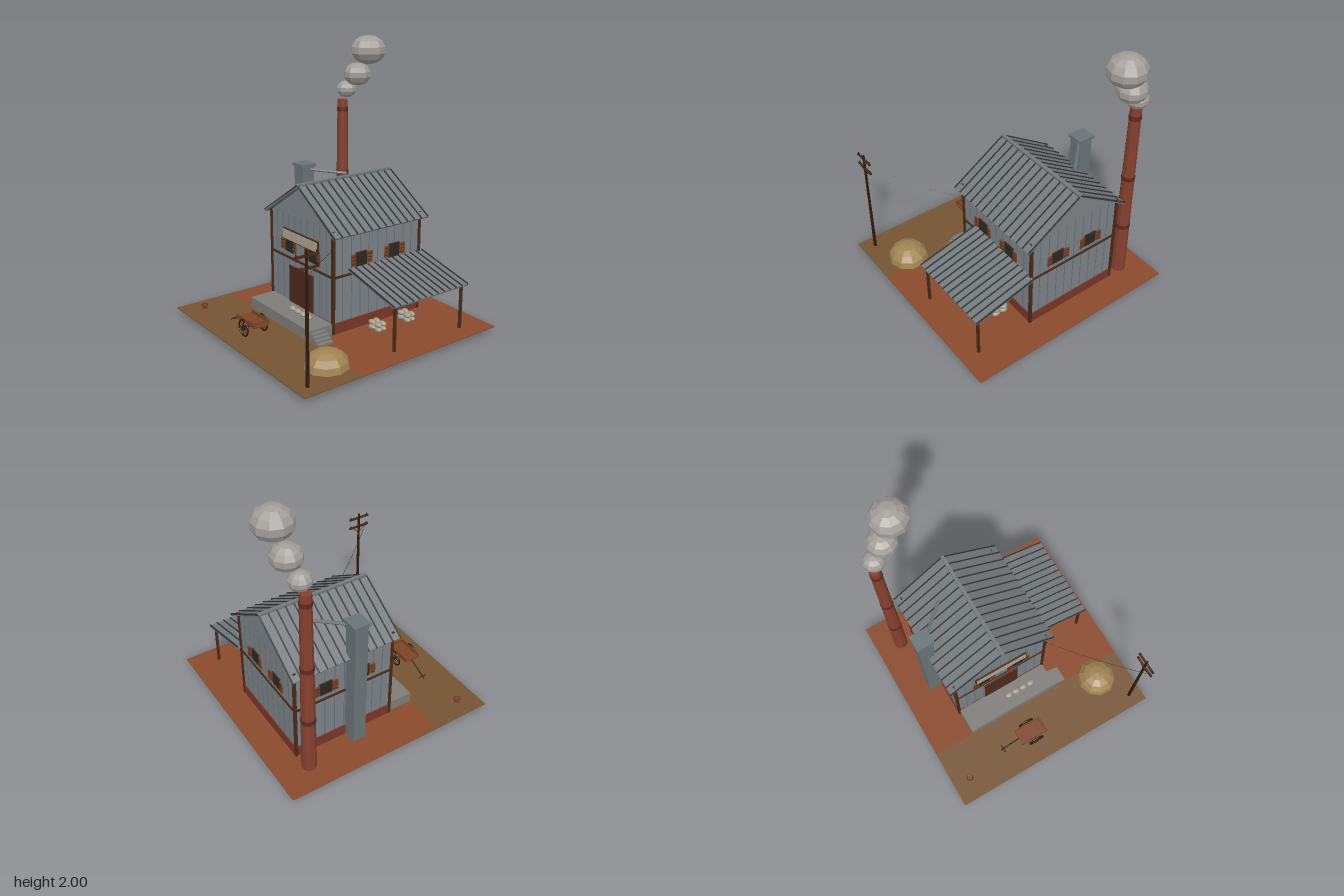
import * as THREE from 'three';

const C = {
  soil: 0x8a4a2c, path: 0x755432, brick: 0x7a3626, wall: 0x7b8387, batten: 0x6a7276, roof: 0x74797c, rib: 0x33373a,
  wood: 0x4a2a18, dark: 0x2e1a10, glass: 0x2b2725, shutter: 0x7c4526, door: 0x4e2a1a, stone: 0x7d7c78,
  stack: 0x85402e, band: 0x5e2a20, duct: 0x6a7478, smoke: 0xa29e9a, hay: 0xa08352, sack: 0xa39c8a, sign: 0xaaa390, leaf: 0x35551f
};
const mats = {};
const mat = (c) => (mats[c] ??= new THREE.MeshStandardMaterial({ color: c, flatShading: true }));
const G = 0.04; // ground level

function add(parent, name, geo, color, x = 0, y = 0, z = 0) {
  const m = new THREE.Mesh(geo, mat(color));
  m.name = name;
  m.position.set(x, y, z);
  parent.add(m);
  return m;
}
// box given by its min and max corners
function box(parent, name, color, x0, x1, y0, y1, z0, z1) {
  return add(parent, name, new THREE.BoxGeometry(x1 - x0, y1 - y0, z1 - z0), color, (x0 + x1) / 2, (y0 + y1) / 2, (z0 + z1) / 2);
}
// round bar between two points
function rod(parent, name, color, a, b, r, sides = 6) {
  const p = new THREE.Vector3(...a), q = new THREE.Vector3(...b), d = q.clone().sub(p);
  const m = add(parent, name, new THREE.CylinderGeometry(r, r, d.length(), sides), color);
  m.position.copy(p).lerp(q, 0.5);
  m.quaternion.setFromUnitVectors(new THREE.Vector3(0, 1, 0), d.normalize());
  return m;
}
function blob(parent, name, color, x, y, z, rx, ry, rz, ws = 8, hs = 6) {
  const m = add(parent, name, new THREE.SphereGeometry(1, ws, hs), color, x, y, z);
  m.scale.set(rx, ry, rz);
  return m;
}
function group(parent, name, x = 0, y = 0, z = 0) {
  const g = new THREE.Group();
  g.name = name;
  g.position.set(x, y, z);
  parent.add(g);
  return g;
}
// ribbed sheet roof, sloping in x from a high edge to a low edge
function ribbedRoof(parent, name, xHi, yHi, xLo, yLo, z0, z1, ribs) {
  const g = group(parent, name, (xHi + xLo) / 2, (yHi + yLo) / 2, 0);
  const len = Math.hypot(xHi - xLo, yHi - yLo);
  g.rotation.z = Math.atan((yLo - yHi) / (xLo - xHi));
  box(g, 'roofSheet', C.roof, -len / 2, len / 2, -0.012, 0, z0, z1);
  for (let i = 0; i < ribs; i++) {
    const z = z0 + 0.004 + ((z1 - z0 - 0.008) * i) / (ribs - 1);
    box(g, 'roofRib', C.rib, -len / 2, len / 2, -0.004, 0.007, z - 0.004, z + 0.004);
  }
}
// shuttered window facing +z
function windowUnit(parent, x, y, z, turn = 0) {
  const g = group(parent, 'window', x, y, z);
  g.rotation.y = turn;
  box(g, 'windowFrame', C.wood, -0.05, 0.05, -0.052, 0.052, -0.004, 0.006);
  box(g, 'windowPane', C.glass, -0.044, 0.044, -0.046, 0.046, 0, 0.009);
  for (const s of [-1, 1]) {
    const sh = group(g, 'shutter', s * 0.072, 0, 0.009);
    sh.rotation.y = -s * 0.15;
    box(sh, 'shutterPanel', C.shutter, -0.022, 0.022, -0.042, 0.042, -0.004, 0.004);
    for (const sy of [-0.026, 0, 0.026]) box(sh, 'shutterSlat', C.wood, -0.017, 0.017, sy - 0.003, sy + 0.003, 0, 0.006);
  }
}

export function createModel() {
  const root = new THREE.Group();
  root.name = 'workshop';

  // ground: bare soil behind, trodden yard in front
  box(root, 'soilGround', C.soil, -0.825, 0.825, G - 0.006, G, -0.825, 0.37);
  box(root, 'yardGround', C.path, -0.825, 0.825, G - 0.006, G, 0.37, 0.82);

  // main building
  const X0 = -0.505, X1 = 0.245, Z0 = -0.61, Z1 = 0.17, XM = -0.13;
  const house = group(root, 'building');
  box(house, 'brickFoundation', C.brick, X0 - 0.008, X1 + 0.008, G - 0.008, 0.12, Z0 - 0.008, Z1 + 0.008);
  const wallTop = (x) => 1.01 - Math.abs(x - XM) * 0.643;
  const gable = new THREE.Shape([[X0, 0.12], [X1, 0.12], [X1, wallTop(X1)], [XM, 1.01], [X0, wallTop(X0)]].map((p) => new THREE.Vector2(...p)));
  add(house, 'walls', new THREE.ExtrudeGeometry(gable, { depth: Z1 - Z0, bevelEnabled: false }), C.wall, 0, 0, Z0);
  for (let i = 1; i < 10; i++) {
    const x = X0 + ((X1 - X0) * i) / 10, z = Z0 + ((Z1 - Z0) * i) / 10;
    for (const w of [Z0, Z1]) box(house, 'wallBatten', C.batten, x - 0.003, x + 0.003, 0.12, Math.min(wallTop(x), 0.79), w - 0.003, w + 0.003);
    for (const w of [X0, X1]) box(house, 'wallBatten', C.batten, w - 0.003, w + 0.003, 0.12, 0.765, z - 0.003, z + 0.003);
  }
  for (const x of [X0, X1]) for (const z of [Z0, Z1]) box(house, 'cornerPost', C.wood, x - 0.01, x + 0.01, G, 0.79, z - 0.01, z + 0.01);
  for (const z of [Z0, Z1]) box(house, 'beltBoard', C.wood, X0, X1, 0.448, 0.464, z - 0.008, z + 0.008);
  for (const x of [X0, X1]) box(house, 'beltBoard', C.wood, x - 0.008, x + 0.008, 0.448, 0.464, Z0, Z1);
  ribbedRoof(house, 'leftRoof', XM, 1.03, 0.3, 0.757, -0.648, 0.205, 14);
  ribbedRoof(house, 'rightRoof', XM, 1.03, -0.555, 0.757, -0.648, 0.205, 14);
  box(house, 'ridgeCap', C.roof, XM - 0.013, XM + 0.013, 1.02, 1.04, -0.648, 0.205);

  // openings
  for (const x of [-0.273, 0.018]) {
    windowUnit(house, x, 0.55, Z1);
    windowUnit(house, x, 0.55, Z0, Math.PI);
  }
  for (const z of [-0.07, -0.37]) {
    windowUnit(house, X1, 0.55, z, Math.PI / 2);
    windowUnit(house, X0, 0.55, z, -Math.PI / 2);
  }
  box(house, 'door', C.door, -0.27, 0.015, 0.12, 0.4, Z1 - 0.005, Z1 + 0.012);
  box(house, 'signFrame', C.wood, -0.342, 0.084, 0.59, 0.673, Z1, Z1 + 0.014);
  box(house, 'signBoard', C.sign, -0.335, 0.077, 0.597, 0.666, Z1, Z1 + 0.018);

  // loading platform and its steps
  box(root, 'platform', C.stone, -0.5, 0.245, G, 0.12, Z1, 0.37);
  for (let i = 0; i < 4; i++) box(root, 'step', C.stone, 0.245 + i * 0.026, 0.271 + i * 0.026, G, 0.104 - i * 0.016, 0.245, 0.365);

  // lean-to shelter
  ribbedRoof(root, 'shelterRoof', 0.245, 0.49, 0.72, 0.372, -0.645, 0.037, 13);
  for (const z of [0, -0.61]) box(root, 'shelterPost', C.wood, 0.68, 0.697, G, 0.37, z - 0.009, z + 0.009);

  // sacks on the platform and stacked beside the wall
  for (let i = 0; i < 4; i++) blob(root, 'sack', C.sack, -0.11 + i * 0.064, 0.138, 0.265, 0.031, 0.018, 0.023);
  for (const zc of [-0.127, -0.397])
    for (const x of [0.333, 0.398]) for (const y of [0.058, 0.093]) for (const dz of [-0.021, 0.021])
      blob(root, 'sack', C.sack, x, y, zc + dz, 0.032, 0.018, 0.022);

  // brick chimney with bands and smoke
  add(root, 'chimney', new THREE.CylinderGeometry(0.04, 0.054, 1.455, 10), C.stack, -0.628, G + 0.7275, -0.582);
  for (const y of [0.475, 0.915, 1.42]) {
    const r = 0.057 - (y - G) * 0.0095;
    add(root, 'chimneyBand', new THREE.CylinderGeometry(r, r, 0.034, 10), C.band, -0.628, y, -0.582);
  }
  blob(root, 'smokePuff', C.smoke, -0.607, 1.577, -0.603, 0.079, 0.065, 0.079, 10, 7);
  blob(root, 'smokePuff', C.smoke, -0.513, 1.7, -0.634, 0.107, 0.088, 0.107, 10, 7);
  blob(root, 'smokePuff', C.smoke, -0.42, 1.89, -0.664, 0.137, 0.11, 0.137, 10, 7);

  // side duct and its pipe
  box(root, 'duct', C.duct, -0.612, -0.502, G, 1.035, -0.21, -0.11);
  box(root, 'ductCap', C.duct, -0.624, -0.49, 1.035, 1.06, -0.224, -0.1);
  rod(root, 'ductPipe', C.duct, [-0.53, 1.015, -0.17], [-0.31, 0.995, -0.378], 0.012, 8);

  // hay heap
  const hay = add(root, 'hayHeap', new THREE.SphereGeometry(1, 10, 4, 0, Math.PI * 2, 0, Math.PI / 2), C.hay, 0.578, G, 0.473);
  hay.scale.set(0.15, 0.116, 0.155);

  // utility pole with two cross arms and a sagging wire
  const px = 0.725, pz = 0.728;
  add(root, 'utilityPole', new THREE.CylinderGeometry(0.009, 0.013, 0.88, 8), C.dark, px, G + 0.44, pz);
  for (const y of [0.805, 0.885]) {
    box(root, 'crossArm', C.wood, px - 0.007, px + 0.007, y - 0.007, y + 0.007, pz - 0.088, pz + 0.088);
    for (const s of [-1, 1]) rod(root, 'insulator', C.dark, [px, y, pz + s * 0.075], [px, y + 0.02, pz + s * 0.075], 0.005);
  }
  for (const s of [-1, 1]) rod(root, 'armBrace', C.wood, [px, 0.745, pz], [px, 0.8, pz + s * 0.055], 0.003);
  const wire = new THREE.QuadraticBezierCurve3(new THREE.Vector3(px, 0.825, pz + 0.075), new THREE.Vector3(0.47, 0.655, 0.47), new THREE.Vector3(0.25, 0.665, 0.18));
  add(root, 'wire', new THREE.TubeGeometry(wire, 16, 0.0014, 4), C.dark);
  for (const y of [0.62, 0.64, 0.665]) rod(root, 'wallInsulator', C.dark, [0.245, y, 0.17], [0.255, y, 0.187], 0.005);

  // hand cart
  const cart = group(root, 'handCart', -0.107, 0.103, 0.598);
  box(cart, 'cartBed', C.shutter, -0.115, 0.113, 0.025, 0.038, -0.06, 0.06);
  for (const s of [-1, 1]) {
    box(cart, 'cartSide', C.shutter, -0.115, 0.113, 0.03, 0.062, s * 0.06 - 0.003, s * 0.06 + 0.003);
    const wheel = group(cart, 'wheel', 0, 0, s * 0.078);
    add(wheel, 'wheelRim', new THREE.TorusGeometry(0.058, 0.006, 6, 18), C.dark);
    rod(wheel, 'wheelHub', C.dark, [0, 0, -0.012], [0, 0, 0.012], 0.012, 8);
    for (let i = 0; i < 4; i++) {
      const a = (i * Math.PI) / 4, c = 0.056 * Math.cos(a), d = 0.056 * Math.sin(a);
      rod(wheel, 'wheelSpoke', C.dark, [-c, -d, 0], [c, d, 0], 0.003, 5);
    }
  }
  box(cart, 'cartTailboard', C.shutter, 0.094, 0.1, 0.03, 0.062, -0.06, 0.06);
  rod(cart, 'axle', C.dark, [0, 0, -0.085], [0, 0, 0.085], 0.006);
  rod(cart, 'cartShaft', C.dark, [-0.09, 0.032, 0], [-0.27, -0.046, 0], 0.005);
  rod(cart, 'cartHandle', C.dark, [-0.25, -0.038, -0.03], [-0.25, -0.038, 0.03], 0.004);

  // clay pot with drooping leaves
  const pot = group(root, 'potPlant', -0.69, G, 0.66);
  add(pot, 'pot', new THREE.CylinderGeometry(0.023, 0.018, 0.03, 8), C.stack, 0, 0.015, 0);
  const rim = add(pot, 'potRim', new THREE.TorusGeometry(0.022, 0.004, 5, 10), C.band, 0, 0.03, 0);
  rim.rotation.x = Math.PI / 2;
  for (let i = 0; i < 7; i++) {
    const a = (i * Math.PI * 2) / 7, c = Math.cos(a), s = Math.sin(a);
    const leaf = add(pot, 'leaf', new THREE.ConeGeometry(0.007, 0.055, 4), C.leaf, c * 0.018, -0.014, s * 0.018);
    leaf.quaternion.setFromUnitVectors(new THREE.Vector3(0, 1, 0), new THREE.Vector3(c * 0.5, i % 2 ? 0.85 : -0.85, s * 0.5).normalize());
  }
  return root;
}
